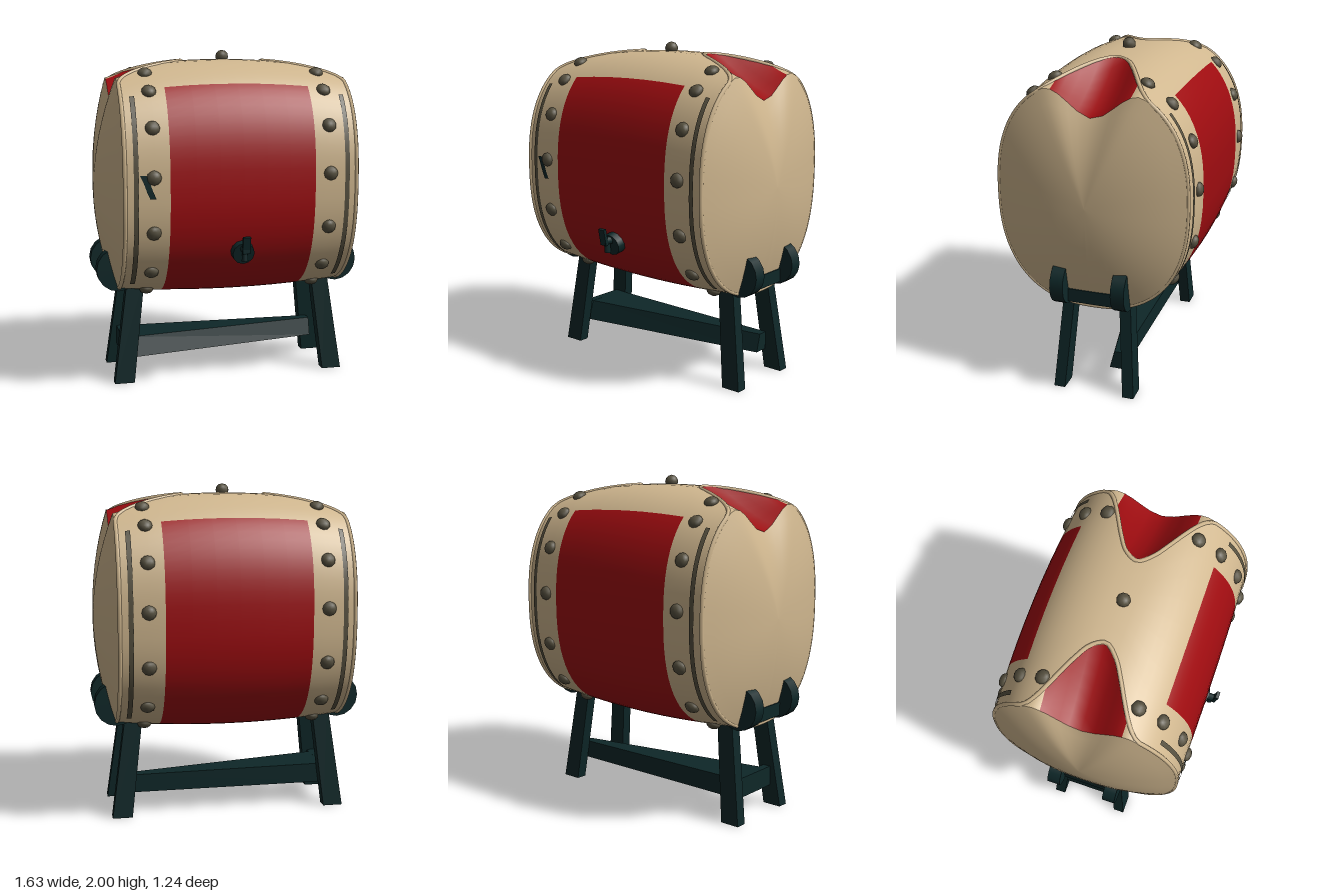
import * as THREE from 'three';

const EDGE = 0.69, DEG = Math.PI / 180;
const smooth = t => { t = Math.min(Math.max(t, 0), 1); return t * t * (3 - 2 * t); };
const pow = v => Math.sign(v) * Math.abs(v) ** 0.83;

// Point on the barrel skin: x along the axis, a in degrees from the top towards +z
function skin(x, a, off = 0) {
  const k = 1 - (x / EDGE) ** 2;
  return new THREE.Vector3(x,
    1.225 + 0.01 * k + (0.665 + 0.045 * k + off) * pow(Math.cos(a * DEG)),
    -0.02 - 0.01 * k + (0.56 + 0.02 * k + off) * pow(Math.sin(a * DEG)));
}

// Distance from the top centre line, the scooped barrel edge and the dipped drumhead edge
const away = a => Math.cos(a * DEG) < 0 ? 1 : Math.abs(skin(EDGE, a).z + 0.03);
const edgeX = a => 0.26 + 0.43 * smooth(away(a) / 0.34);
function headEdge(a) {
  const p = skin(EDGE, a);
  p.y -= 0.2 * (1 - smooth(away(a) / 0.3));
  return p;
}

// Surface over two lists of parameters; pick() chooses the material slot of each cell
function surface(us, vs, f, pick = () => 0) {
  const pos = [], cells = [[], []], n = vs.length;
  us.forEach(u => vs.forEach(v => pos.push(...f(u, v).toArray())));
  for (let i = 0; i < us.length - 1; i++) for (let j = 0; j < n - 1; j++) {
    const a = i * n + j, b = a + n;
    cells[pick((us[i] + us[i + 1]) / 2, (vs[j] + vs[j + 1]) / 2)].push(a, a + 1, b, b, a + 1, b + 1);
  }
  const g = new THREE.BufferGeometry();
  g.setAttribute('position', new THREE.Float32BufferAttribute(pos, 3));
  g.setIndex([...cells[0], ...cells[1]]);
  g.addGroup(0, cells[0].length, 0);
  g.addGroup(cells[0].length, cells[1].length, 1);
  g.computeVertexNormals();
  return g;
}
const range = (a, b, n) => Array.from({ length: n + 1 }, (_, i) => a + (b - a) * i / n);

// Solid between two four-cornered ends
function beam(end0, end1) {
  const p = [...end0, ...end1], pos = [];
  const faces = [[0, 3, 2, 1], [4, 5, 6, 7], [0, 1, 5, 4], [1, 2, 6, 5], [2, 3, 7, 6], [3, 0, 4, 7]];
  for (const [a, b, c, d] of faces) for (const i of [a, b, c, a, c, d]) pos.push(...p[i]);
  const g = new THREE.BufferGeometry();
  g.setAttribute('position', new THREE.Float32BufferAttribute(pos, 3));
  g.computeVertexNormals();
  return g;
}

export function createModel() {
  const root = new THREE.Group();
  const mat = (name, color) => {
    const m = new THREE.MeshStandardMaterial({ color, side: THREE.DoubleSide });
    m.name = name;
    return m;
  };
  const tan = mat('tan hide', 0xd0b78f), red = mat('red lacquer', 0x9e0c10);
  const dark = mat('dark green wood', 0x0e2728), iron = mat('iron grey', 0x575140);
  const add = (name, geo, m, x = 0, y = 0, z = 0) => {
    const mesh = new THREE.Mesh(geo, m);
    mesh.name = name;
    mesh.position.set(x, y, z);
    root.add(mesh);
    return mesh;
  };

  // Barrel with a red band on the front, bottom and back
  const cols = [-1, -0.87, -0.74, -0.62, -0.4, -0.2, 0, 0.2, 0.4, 0.62, 0.74, 0.87, 1];
  const turn = range(-180, 180, 72);
  add('barrel', surface(turn, cols, (a, u) => skin(u * edgeX(a), a),
    (a, u) => Math.abs(u) < 0.62 && Math.abs(a) > 40 ? 1 : 0), [tan, red]);

  for (const s of [1, -1]) {
    const flip = p => p.setX(p.x * s);

    // Domed drumhead
    add('drumhead', surface(turn, range(0, 1, 8), (a, r) => {
      const p = headEdge(a);
      return flip(new THREE.Vector3(EDGE + 0.11 * (1 - r * r),
        1.2 + (p.y - 1.2) * r, -0.02 + (p.z + 0.02) * r));
    }), tan);

    // Red floor of the scoop at the top of the drumhead
    add('scoop', surface(range(-40, 40, 16), range(0, 1, 6), (a, t) => {
      const p = headEdge(a).lerp(skin(edgeX(a), a), t);
      p.y -= 0.08 * t * (1 - t) * (1 - smooth(away(a) / 0.3));
      return flip(p);
    }, a => Math.abs(a) < 22 ? 1 : 0), [tan, red]);

    // Rolled lip along the barrel edge
    const lip = turn.slice(1).map(a => flip(skin(edgeX(a) - 0.008, a, -0.004)));
    add('lip', new THREE.TubeGeometry(new THREE.CatmullRomCurve3(lip, true), 144, 0.013, 6, true), tan);

    for (const side of [1, -1]) {
      // Narrow dark strip and row of studs
      add('edgeStrip', surface(range(45, 147, 24), [0.607, 0.635],
        (a, x) => flip(skin(x, a * side, 0.007))), iron);
      for (const a of [24, 42, 65, 87, 108, 134, 160]) {
        const p = flip(skin(0.52, a * side));
        const stud = add('stud', new THREE.IcosahedronGeometry(0.043, 1), iron, p.x, p.y, p.z);
        stud.rotation.x = a * side * DEG;
        stud.scale.y = 0.7;
      }

      // Leg with a rounded cradle block at its top
      const zc = side > 0 ? [0.187, 0.137] : [-0.245, -0.195];
      const ring = (x, y, z, w) => [[x - w, y, z + 0.034], [x + w, y, z + 0.034],
        [x + w, y, z - 0.034], [x - w, y, z - 0.034]];
      add('leg', beam(ring(s * 0.66, 0, zc[0], 0.06), ring(s * 0.575, 0.66, zc[1], 0.052)), dark);
      const block = add('cradleBlock', new THREE.CylinderGeometry(0.132, 0.132, 0.08, 16), dark,
        s * 0.683, 0.7, side > 0 ? 0.155 : -0.21);
      block.rotation.x = Math.PI / 2;
    }

    // Upper rail joining the cradle blocks
    add('cradleRail', new THREE.BoxGeometry(0.1, 0.08, 0.32), dark, s * 0.68, 0.63, -0.03);
  }

  // Top stud
  add('topStud', new THREE.IcosahedronGeometry(0.04, 1), iron, 0, 1.96, -0.02);

  // Small dark chip on the front rim
  add('chip', surface(range(86, 93, 3), [0, 1],
    (a, t) => skin(-0.6 + (a - 86) * 0.008 + t * 0.035, a, 0.007)), dark);

  // Lower crossbar and tapering stretcher panel
  add('crossbar', new THREE.BoxGeometry(0.05, 0.12, 0.34), dark, -0.63, 0.19, -0.03);
  add('stretcher', beam(
    [[-0.62, 0.13, 0.13], [-0.62, 0.13, -0.19], [-0.62, 0.25, -0.19], [-0.62, 0.25, 0.09]],
    [[0.62, 0.13, -0.1], [0.62, 0.13, -0.19], [0.62, 0.24, -0.19], [0.62, 0.24, -0.13]]), dark);

  // Tap on the lower front
  const plate = add('tapPlate', new THREE.CylinderGeometry(0.065, 0.068, 0.06, 12), dark, 0, 0.84, 0.505);
  plate.rotation.x = Math.PI / 2 + 0.25;
  const stem = add('tapStem', new THREE.CylinderGeometry(0.022, 0.026, 0.09, 8), dark, 0, 0.865, 0.555);
  stem.rotation.x = Math.PI / 2;
  const lever = add('tapLever', new THREE.BoxGeometry(0.045, 0.1, 0.02), dark, 0, 0.893, 0.595);
  lever.rotation.x = 0.2;
  add('tapSpout', new THREE.CylinderGeometry(0.015, 0.02, 0.06, 8), dark, 0, 0.825, 0.56);

  return root;
}
